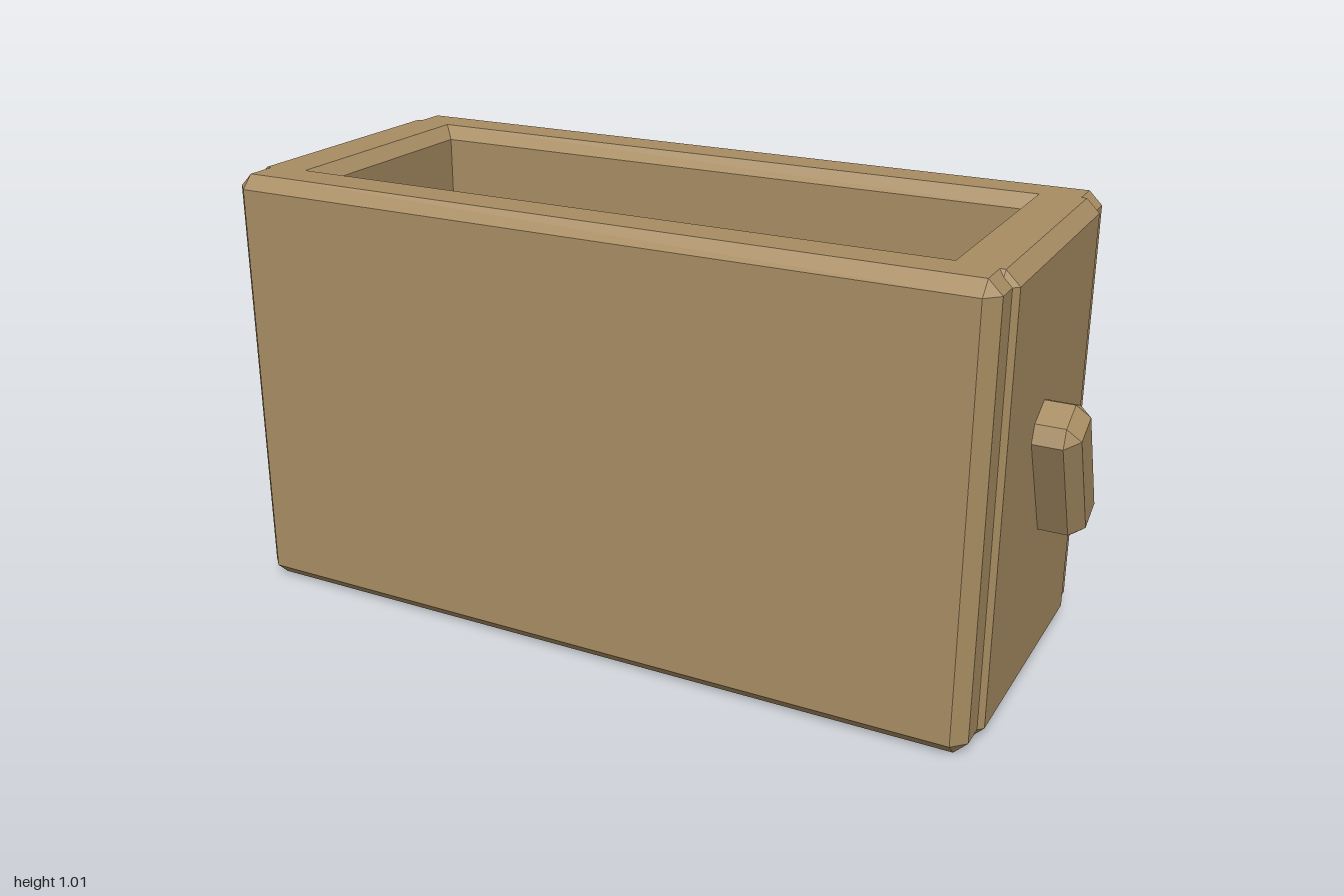
import * as THREE from 'three';
import { ConvexGeometry } from 'three/addons/geometries/ConvexGeometry.js';

const BEVEL = 0.03;
const HEIGHT = 1.01;

// Box with every edge chamfered: each corner is cut into three points
function chamferedBox(w, h, d, bevel = BEVEL) {
  const half = [w / 2, h / 2, d / 2];
  const points = [];
  for (const sx of [-1, 1]) for (const sy of [-1, 1]) for (const sz of [-1, 1]) {
    for (let axis = 0; axis < 3; axis++) {
      const p = half.map((v, i) => (i === axis ? v : v - bevel));
      points.push(new THREE.Vector3(p[0] * sx, p[1] * sy, p[2] * sz));
    }
  }
  return new ConvexGeometry(points);
}

export function createModel() {
  const group = new THREE.Group();
  const wood = new THREE.MeshStandardMaterial({ color: 0xa88d63 });
  wood.name = 'wood';

  function add(name, geometry, x, y, z) {
    const mesh = new THREE.Mesh(geometry, wood);
    mesh.name = name;
    mesh.position.set(x, y, z);
    group.add(mesh);
    return mesh;
  }

  // Long front and back walls
  const longWall = chamferedBox(1.786, HEIGHT, 0.143);
  add('frontWall', longWall, 0, HEIGHT / 2, 0.3255);
  add('backWall', longWall, 0, HEIGHT / 2, -0.3255);

  // End walls, standing slightly proud of the long walls, with slanted handles
  const endWall = chamferedBox(0.161, HEIGHT, 0.654);
  const handle = chamferedBox(0.2, 0.327, 0.13);
  for (const [side, s] of [['left', 1], ['right', -1]]) {
    add(side + 'EndWall', endWall, s * 0.8245, HEIGHT / 2, 0);
    add(side + 'Handle', handle, s * 0.9, HEIGHT / 2, 0).rotation.x = 0.452;
  }

  return group;
}
